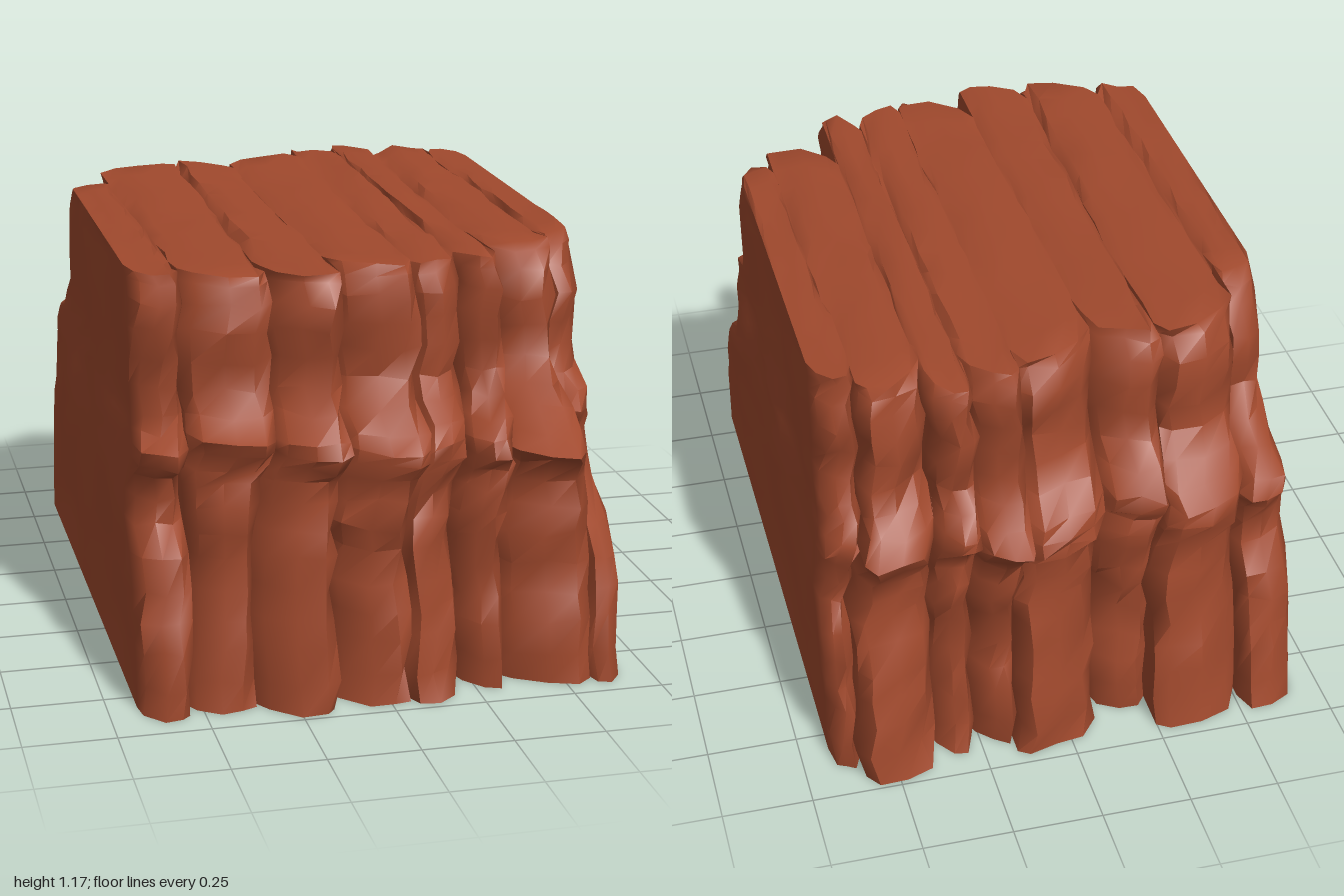
import * as THREE from 'three';
import { toCreasedNormals } from 'three/addons/utils/BufferGeometryUtils.js';

// Repeatable noise in -1..1
const noise = (a, b, c = 0) => {
  const s = Math.sin(a * 127.1 + b * 311.7 + c * 74.7) * 43758.5453;
  return (s - Math.floor(s)) * 2 - 1;
};
const lerp = THREE.MathUtils.lerp;

// Piecewise linear lookup
function sample(keys, values, t) {
  let i = 0;
  while (i < keys.length - 2 && t > keys[i + 1]) i++;
  return lerp(values[i], values[i + 1], THREE.MathUtils.clamp((t - keys[i]) / (keys[i + 1] - keys[i]), 0, 1));
}

// Two ragged cliff faces: column edges at foot and top, reach of each column at foot, waist and top,
// how far its crown is worn back, slant of its face, and the height of the ledge that crosses it
const frontFace = {
  seed: 3,
  low: [-0.67, -0.53, -0.36, -0.15, 0.05, 0.2, 0.33, 0.57, 0.67],
  high: [-0.645, -0.52, -0.29, -0.11, 0.11, 0.25, 0.36, 0.54, 0.645],
  foot: [0.91, 0.89, 0.95, 0.93, 0.94, 0.88, 0.9, 0.91],
  waist: [0.72, 0.84, 0.87, 0.89, 0.86, 0.86, 0.83, 0.62],
  top: [0.72, 0.78, 0.8, 0.75, 0.73, 0.72, 0.6, 0.54],
  crown: [0.06, 0.06, 0.05, 0.05, 0.04, 0.05, 0.1, 0.12],
  slant: [0.03, 0.03, 0.05, 0.05, -0.04, 0.04, 0.05, -0.03],
  ledge: [0.68, 0.73, 0.72, 0.71, 0.7, 0.69, 0.67, 0.7],
};
const backFace = {
  seed: 11,
  low: [-0.67, -0.6, -0.38, -0.27, -0.15, 0.08, 0.24, 0.5, 0.67],
  high: [-0.645, -0.54, -0.36, -0.25, -0.11, 0.11, 0.29, 0.52, 0.645],
  foot: [0.88, 0.95, 0.88, 0.88, 0.94, 0.83, 0.93, 0.91],
  waist: [0.75, 0.86, 0.85, 0.87, 0.88, 0.82, 0.86, 0.76],
  top: [0.7, 0.78, 0.84, 0.8, 0.75, 0.7, 0.7, 0.54],
  crown: [0.03, 0.05, 0.03, 0.04, 0.05, 0.06, 0.06, 0.12],
  slant: [0.03, -0.03, 0.03, 0.04, -0.04, 0.04, -0.04, -0.02],
  ledge: [0.68, 0.7, 0.72, 0.7, 0.72, 0.74, 0.7, 0.68],
};
const heights = [0, 0.08, 0.18, 0.25, 0.33, 0.42, 0.49, 0.56, 0.62, 0.66, 0.7, 0.74, 0.79, 0.85, 0.93, 1.01, 1.08, 1.13, 1.155];
const across = [0, 0.14, 0.5, 0.84, 1];   // points across one column
const bulge = [-0.045, 0.005, 0.022, 0.01, -0.04];
const ROWS = 12;                          // points along each flank

// One level of a cliff face, from its own left to its own right
function faceLine(face, y, level) {
  const points = [];
  const climb = THREE.MathUtils.smoothstep(y, 0.45, 0.8);
  for (let c = 0; c < 8; c++) {
    const foot = face.foot[c], waist = face.waist[c], top = face.top[c], crown = face.crown[c];
    const keys = [0, 0.18, 0.28, 0.42, 0.5, 0.66, 0.85, 1.03, 1.1, 1.155];
    const reach = [foot, foot - 0.02, foot - 0.05, lerp(foot - 0.05, waist, 0.3), waist, waist,
      top * 0.9 + 0.065, top, top - crown * 0.3, top - crown];
    const d = (y - face.ledge[c]) / 0.055;
    const shelf = 0.075 * Math.exp(-d * d) * (1 + 0.5 * noise(c, face.seed));
    across.forEach((u, k) => {
      const left = lerp(face.low[c], face.high[c], climb), right = lerp(face.low[c + 1], face.high[c + 1], climb);
      const end = (c === 0 && k === 0) || (c === 7 && k === 4);
      const edge = end ? 0 : 0.012 * noise(c + (k === 4 ? 1 : 0), level, face.seed);
      const chip = 0.018 * noise(c * 5 + k, level, face.seed);
      const z = sample(keys, reach, y) + shelf + bulge[k] + face.slant[c] * (u - 0.5) * 2 + chip;
      const lift = level === 0 ? 0 : 0.01 * noise(c * 5 + k, level + 40, face.seed) * (y > 1.1 ? 0.6 : 1);
      points.push(new THREE.Vector3(lerp(left, right, u) + edge, y + lift, Math.min(z, 1)));
    });
  }
  return points;
}

// Flat flank with shallow dents, between the ends of two cliff faces
function flankLine(a, b, level, side) {
  const points = [];
  const inside = level > 0 && level < heights.length - 1;
  for (let k = 1; k < ROWS; k++) {
    const p = a.clone().lerp(b, k / ROWS);
    if (inside) {
      const wave = Math.sin(k * 0.9 + level * 0.55 + side) * 0.007;
      p.x -= side * (0.007 + wave + 0.005 * noise(k, level, side));
      p.z += 0.02 * noise(level, k, side + 5);
    }
    points.push(p);
  }
  return points;
}

function buildRock() {
  const vertices = [], index = [];
  const add = p => vertices.push(p.x, p.y, p.z) / 3 - 1;
  const quad = (a, b, c, d) => index.push(a, b, c, a, c, d);

  // Closed loops stacked from foot to top
  const rings = heights.map((y, level) => {
    const front = faceLine(frontFace, y, level);
    const back = faceLine(backFace, y, level).map(p => new THREE.Vector3(-p.x, p.y + y * 0.008, -p.z));
    const right = flankLine(front[front.length - 1], back[0], level, 1);
    const left = flankLine(back[back.length - 1], front[0], level, -1);
    return { front, back, points: [...front, ...right, ...back, ...left] };
  });
  const ids = rings.map(ring => ring.points.map(add));
  const count = ids[0].length;
  for (let j = 0; j < ids.length - 1; j++)
    for (let i = 0; i < count; i++) {
      const n = (i + 1) % count;
      quad(ids[j][i], ids[j][n], ids[j + 1][n], ids[j + 1][i]);
    }

  // Ridged top and flat underside, in strips running front to back
  const cap = (ring, rough, up) => {
    const grid = [];
    const back = ring.back.slice().reverse(), n = back.length;
    for (let k = 0; k <= ROWS; k++)
      grid.push(ring.front.map((p, i) => {
        const q = p.clone().lerp(back[i], k / ROWS);
        if (k > 0 && k < ROWS && i > 0 && i < n - 1) {
          const groove = i % 5 === 0 || i % 5 === 4 ? -0.012 : 0.002;
          q.y += rough * (groove + 0.006 * noise(i, Math.floor(k / 3), 8));
          q.x += rough * 0.008 * noise(i, k, 9);
        }
        return add(q);
      }));
    for (let k = 0; k < ROWS; k++)
      for (let i = 0; i < n - 1; i++) {
        const a = grid[k][i], b = grid[k][i + 1], c = grid[k + 1][i + 1], d = grid[k + 1][i];
        if (up) quad(a, b, c, d); else quad(a, d, c, b);
      }
  };
  cap(rings[rings.length - 1], 1, true);
  cap(rings[0], 0, false);

  const geometry = new THREE.BufferGeometry();
  geometry.setAttribute('position', new THREE.Float32BufferAttribute(vertices, 3));
  geometry.setIndex(index);
  return toCreasedNormals(geometry, 0.85);
}

export function createModel() {
  const group = new THREE.Group();
  group.name = 'cliffBlock';
  const stone = new THREE.MeshStandardMaterial({ color: 0xa0492d, side: THREE.DoubleSide });
  stone.name = 'red sandstone';
  const rock = new THREE.Mesh(buildRock(), stone);
  rock.name = 'rock';
  group.add(rock);
  return group;
}
